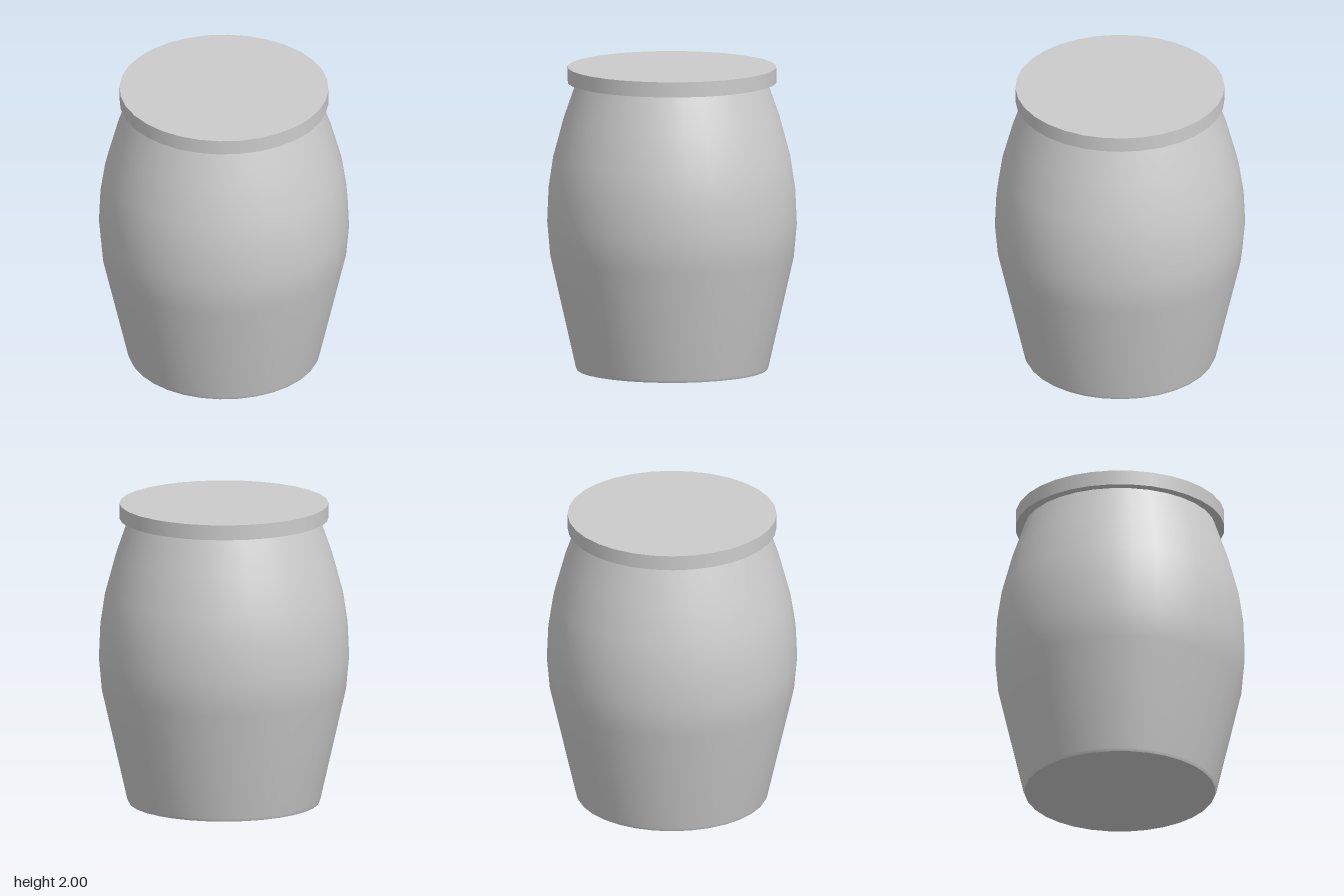
import * as THREE from 'three';

const SEGMENTS = 32;

export function createModel() {
  const group = new THREE.Group();
  const material = new THREE.MeshStandardMaterial({ color: 0xcccccc });
  const add = (name, geometry, y = 0) => {
    const mesh = new THREE.Mesh(geometry, material);
    mesh.name = name;
    mesh.position.y = y;
    group.add(mesh);
  };

  // bulging wall, from the foot up to the neck under the lid
  const profile = [
    [0.625, 0], [0.634, 0.02], [0.8, 0.75], [0.82, 0.97], [0.81, 1.2],
    [0.78, 1.4], [0.71, 1.66], [0.63, 1.89], [0.625, 1.91],
  ].map(([r, y]) => new THREE.Vector2(r, y));
  add('jarBody', new THREE.LatheGeometry(profile, SEGMENTS));

  // flat base, facing down
  add('jarBase', new THREE.CircleGeometry(0.625, SEGMENTS).rotateX(Math.PI / 2));

  // flat overhanging lid
  add('lid', new THREE.CylinderGeometry(0.685, 0.685, 0.1, SEGMENTS), 1.95);

  return group;
}
